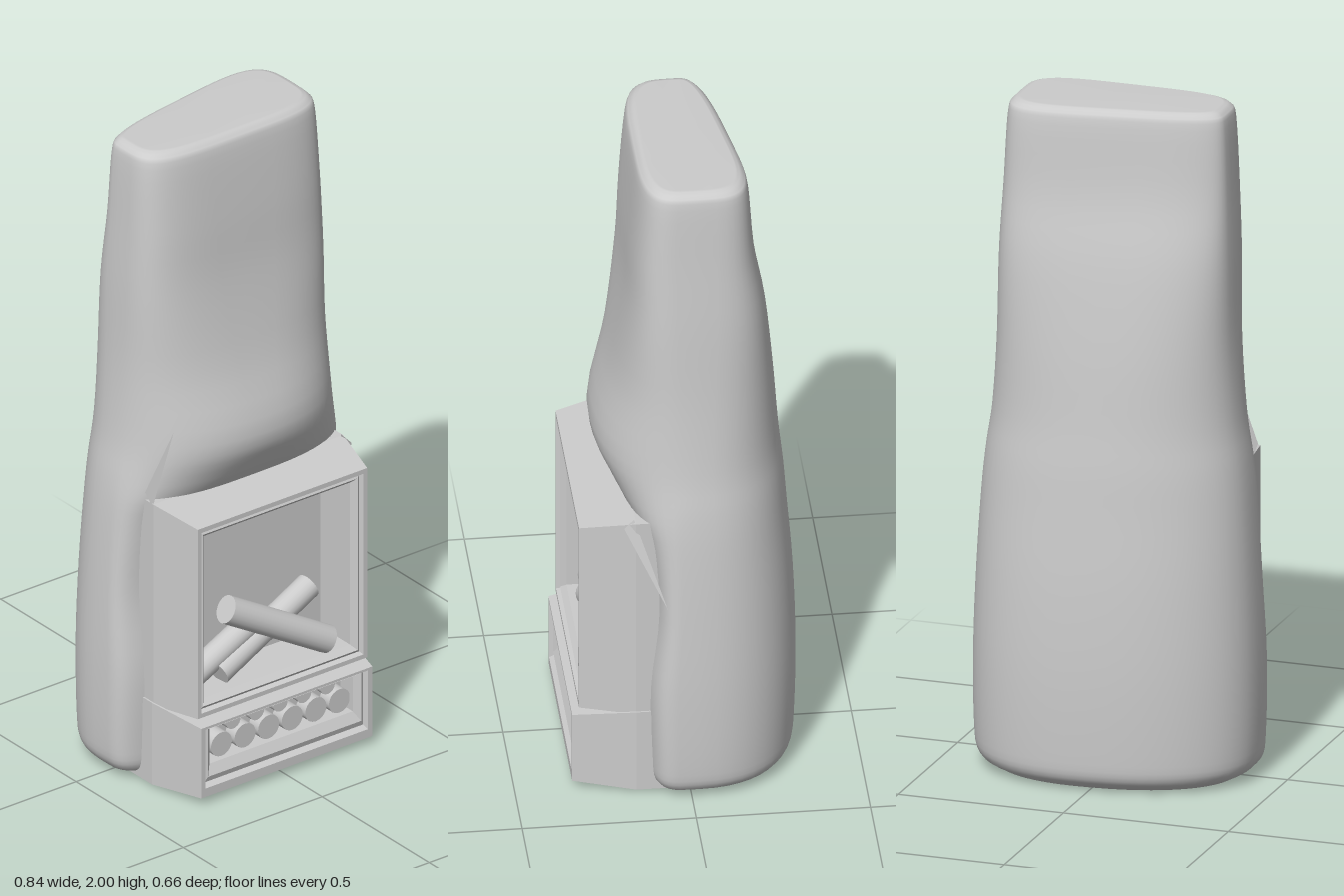
import * as THREE from 'three';

const { lerp, smoothstep } = THREE.MathUtils;
const grey = new THREE.MeshStandardMaterial({ color: 0xcccccc });
const greyBothSides = new THREE.MeshStandardMaterial({ color: 0xcccccc, side: THREE.DoubleSide });

function addMesh(parent, name, geometry, material = grey) {
  const mesh = new THREE.Mesh(geometry, material);
  mesh.name = name;
  parent.add(mesh);
  return mesh;
}

// Triangle geometry from points; without an index every face is flat
function fromPoints(points, index) {
  const g = new THREE.BufferGeometry().setFromPoints(points);
  if (index) g.setIndex(index);
  g.computeVertexNormals();
  return g;
}

// Chimney profile: height, half width, back z, front z, front squareness
const PROFILE = [
  [0.005, 0.355, -0.27, 0.09, 4],
  [0.04, 0.405, -0.31, 0.115, 5],
  [0.12, 0.418, -0.32, 0.122, 5],
  [0.35, 0.42, -0.325, 0.125, 5],
  [0.6, 0.411, -0.317, 0.1, 5],
  [0.82, 0.398, -0.3, 0.13, 3.8],
  [0.95, 0.385, -0.29, 0.205, 2.6],
  [1.08, 0.366, -0.276, 0.255, 2.2],
  [1.3, 0.349, -0.255, 0.203, 2.6],
  [1.55, 0.341, -0.22, 0.166, 3.4],
  [1.75, 0.331, -0.178, 0.153, 3.8],
  [1.95, 0.321, -0.158, 0.135, 4],
  [1.988, 0.309, -0.145, 0.12, 4],
  [2, 0.286, -0.125, 0.1, 4],
];

// Loft of squared ovals, wider behind on its left and flatter towards the top
function chimneyGeometry(seg = 56, rows = 53) {
  const curve = (pick) => new THREE.CatmullRomCurve3(
    PROFILE.map((p) => new THREE.Vector3(...pick(p))), false, 'catmullrom', 0.5);
  const backCurve = curve(([y, w, back]) => [y, w, back]);
  const frontCurve = curve(([y, , , front, n]) => [y, front, n]);
  const points = [], index = [], midZ = -0.02;
  for (let r = 0; r < rows; r++) {
    const { x: y, y: halfWidth, z: back } = backCurve.getPoint(r / (rows - 1));
    const { y: front, z: frontPower } = frontCurve.getPoint(r / (rows - 1));
    const up = smoothstep(y, 1, 2);
    for (let i = 0; i < seg; i++) {
      const a = (i / seg) * Math.PI * 2, c = Math.cos(a), s = Math.sin(a);
      const power = s > 0 ? frontPower : lerp(2.3, 3.8, up);
      const dx = halfWidth * Math.sign(c) * Math.abs(c) ** (2 / power);
      const reach = s > 0 ? front - midZ : back - midZ - lerp(0.08, 0.16, up) * dx;
      points.push(new THREE.Vector3(dx - 0.008 * up, y, midZ + reach * Math.abs(s) ** (2 / power)));
    }
  }
  // walls, then bottom and top caps
  for (let r = 0; r < rows - 1; r++) {
    for (let i = 0; i < seg; i++) {
      const a = r * seg + i, b = r * seg + (i + 1) % seg;
      index.push(a, a + seg, b, b, a + seg, b + seg);
    }
  }
  const bottom = points.length, last = (rows - 1) * seg;
  points.push(new THREE.Vector3(0, 0, -0.08), new THREE.Vector3(0, 2, -0.02));
  for (let i = 0; i < seg; i++) {
    const j = (i + 1) % seg;
    index.push(bottom, i, j, bottom + 1, last + j, last + i);
  }
  return fromPoints(points, index);
}

// Moulding steps: share of the way from frame edge to opening, and set-back
const MOULDING = [[0, 0], [0.32, 0], [0.45, 0.015], [0.65, 0.01], [1, 0.027]];

// Tapered casing with a stepped frame and a recess; rectangles are [half width, low y, high y]
function casingGeometry(rear, face, opening, frontZ, depth) {
  const rings = [], points = [];
  const addRing = ([w, low, high], z) => rings.push(
    [[-w, low], [w, low], [w, high], [-w, high]].map(([x, y]) => new THREE.Vector3(x, y, z)));
  const quad = (a, b, c, d) => points.push(a, b, c, a, c, d);
  addRing(rear, 0.05);
  addRing(rear, 0.155);
  for (const [t, inset] of MOULDING) {
    addRing(face.map((v, i) => lerp(v, opening[i], t)), frontZ - inset);
  }
  addRing(opening, frontZ - depth);
  for (let r = 0; r < rings.length - 1; r++) {
    for (let i = 0; i < 4; i++) {
      const j = (i + 1) % 4;
      quad(rings[r][i], rings[r][j], rings[r + 1][j], rings[r + 1][i]);
    }
  }
  quad(...rings.at(-1));
  quad(...[...rings[0]].reverse());
  return fromPoints(points);
}

function addLog(parent, name, from, to, radius) {
  const a = new THREE.Vector3(...from), b = new THREE.Vector3(...to);
  const dir = b.clone().sub(a);
  const log = addMesh(parent, name, new THREE.CylinderGeometry(radius, radius, dir.length(), 20));
  log.position.copy(a).add(b).multiplyScalar(0.5);
  log.quaternion.setFromUnitVectors(new THREE.Vector3(0, 1, 0), dir.normalize());
}

function addFold(parent, name, ...corners) {
  const points = corners.map((c) => new THREE.Vector3(...c));
  addMesh(parent, name, fromPoints(points), greyBothSides);
}

export function createModel() {
  const model = new THREE.Group();
  model.name = 'fireplace';

  addMesh(model, 'chimney', chimneyGeometry());

  // Firebox above, wood store below
  addMesh(model, 'firebox', casingGeometry(
    [0.342, 0.262, 0.911], [0.305, 0.272, 0.885], [0.264, 0.315, 0.84], 0.315, 0.165));
  addMesh(model, 'woodStore', casingGeometry(
    [0.347, 0.007, 0.271], [0.308, 0.025, 0.25], [0.258, 0.11, 0.226], 0.335, 0.085));

  // Crossed logs in the firebox
  const fireLogs = new THREE.Group();
  fireLogs.name = 'fireLogs';
  model.add(fireLogs);
  addLog(fireLogs, 'frontLog', [-0.13, 0.53, 0.22], [0.2, 0.345, 0.265], 0.042);
  addLog(fireLogs, 'sideLog', [-0.25, 0.355, 0.22], [-0.02, 0.45, 0.2], 0.038);
  addLog(fireLogs, 'backLog', [-0.17, 0.345, 0.235], [0.19, 0.49, 0.19], 0.038);

  // Stored log ends in two staggered rows
  const storedLogs = new THREE.Group();
  storedLogs.name = 'storedLogs';
  model.add(storedLogs);
  for (let row = 0; row < 2; row++) {
    const radius = row ? 0.026 : 0.038;
    for (let i = 0; i < 6 - row; i++) {
      const log = addMesh(storedLogs, 'storedLog', new THREE.CylinderGeometry(radius, radius, 0.05, 20));
      log.rotation.x = Math.PI / 2;
      log.position.set(-0.203 + (i + row / 2) * 0.085, row ? 0.211 : 0.149, 0.268);
    }
  }

  // Thin plaster folds beside the firebox
  addFold(model, 'leftFold', [0.33, 0.92, 0.16], [0.345, 0.9, 0.19], [0.4, 0.65, 0.07]);
  addFold(model, 'rightFold', [-0.28, 1.13, 0.17], [-0.36, 0.95, 0.14], [-0.34, 0.9, 0.15]);

  return model;
}
